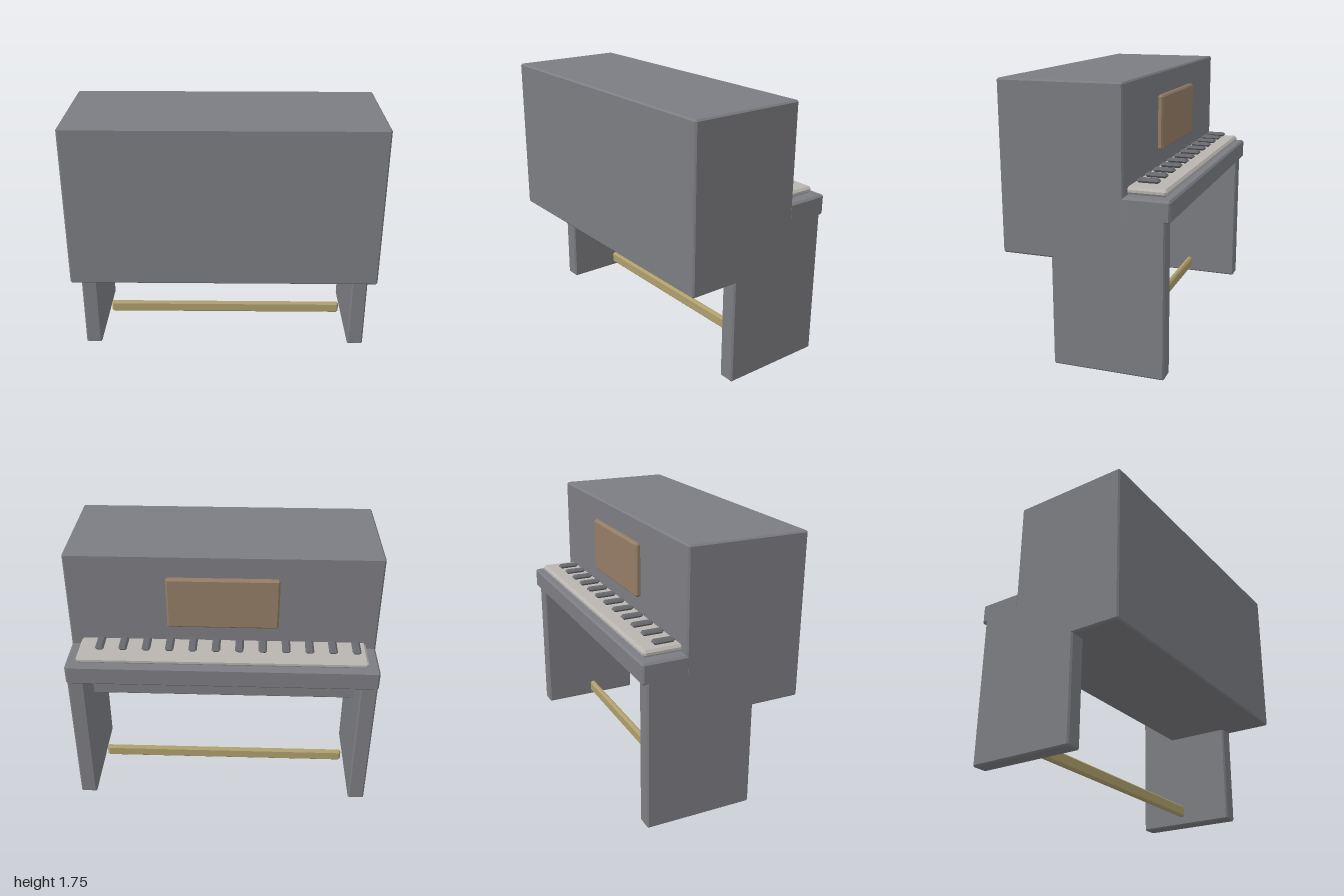
import * as THREE from 'three';
import { ConvexGeometry } from 'three/addons/geometries/ConvexGeometry.js';

function material(name, color) {
  const m = new THREE.MeshStandardMaterial({ color });
  m.name = name;
  return m;
}

// Box between two corners with flat chamfers of size c on every edge
function chamferBox([x0, y0, z0], [x1, y1, z1], c) {
  const centre = new THREE.Vector3(x0 + x1, y0 + y1, z0 + z1).multiplyScalar(0.5);
  const half = new THREE.Vector3(x1 - x0, y1 - y0, z1 - z0).multiplyScalar(0.5);
  const points = [];
  for (const sx of [-1, 1]) for (const sy of [-1, 1]) for (const sz of [-1, 1]) {
    for (const axis of [0, 1, 2]) {
      const p = half.clone().subScalar(c);
      p.setComponent(axis, half.getComponent(axis));
      points.push(p.multiply(new THREE.Vector3(sx, sy, sz)).add(centre));
    }
  }
  return new ConvexGeometry(points);
}

export function createModel() {
  const casing = material('grey casing', 0x7c7d82);
  const ivory = material('ivory keys', 0xb8b5b0);
  const ebony = material('dark keys', 0x68696e);
  const wood = material('brown wood', 0x947d66);
  const brass = material('brass', 0xae9f6c);

  const piano = new THREE.Group();
  piano.name = 'uprightPiano';
  const add = (name, min, max, c, mat, parent = piano) => {
    const mesh = new THREE.Mesh(chamferBox(min, max, c), mat);
    mesh.name = name;
    parent.add(mesh);
  };

  // Upper case and the key bed on its -z side
  add('upperCase', [-1, 0.69, -0.25], [1, 1.75, 0.53], 0.01, casing);
  add('keyBed', [-1, 0.965, -0.53], [1, 1.1, -0.23], 0.012, casing);

  // Side panels that carry the case
  add('leftSidePanel', [0.89, 0, -0.5], [1, 1.0, 0.21], 0.01, casing);
  add('rightSidePanel', [-1, 0, -0.5], [-0.89, 1.0, 0.21], 0.01, casing);

  // Keyboard
  add('whiteKeys', [-0.93, 1.1, -0.49], [0.93, 1.145, -0.235], 0.015, ivory);
  const darkKeys = new THREE.Group();
  darkKeys.name = 'darkKeys';
  piano.add(darkKeys);
  for (let i = 0; i < 12; i++) {
    const x = -0.86 + i * 0.15;
    add('darkKey', [x - 0.0275, 1.147, -0.405], [x + 0.0275, 1.174, -0.265], 0.012, ebony, darkKeys);
  }

  // Music desk and foot rail
  add('musicDesk', [-0.36, 1.255, -0.284], [0.36, 1.605, -0.244], 0.012, wood);
  add('footRail', [-0.86, 0.05, -0.165], [0.86, 0.132, -0.125], 0.012, brass);

  return piano;
}
